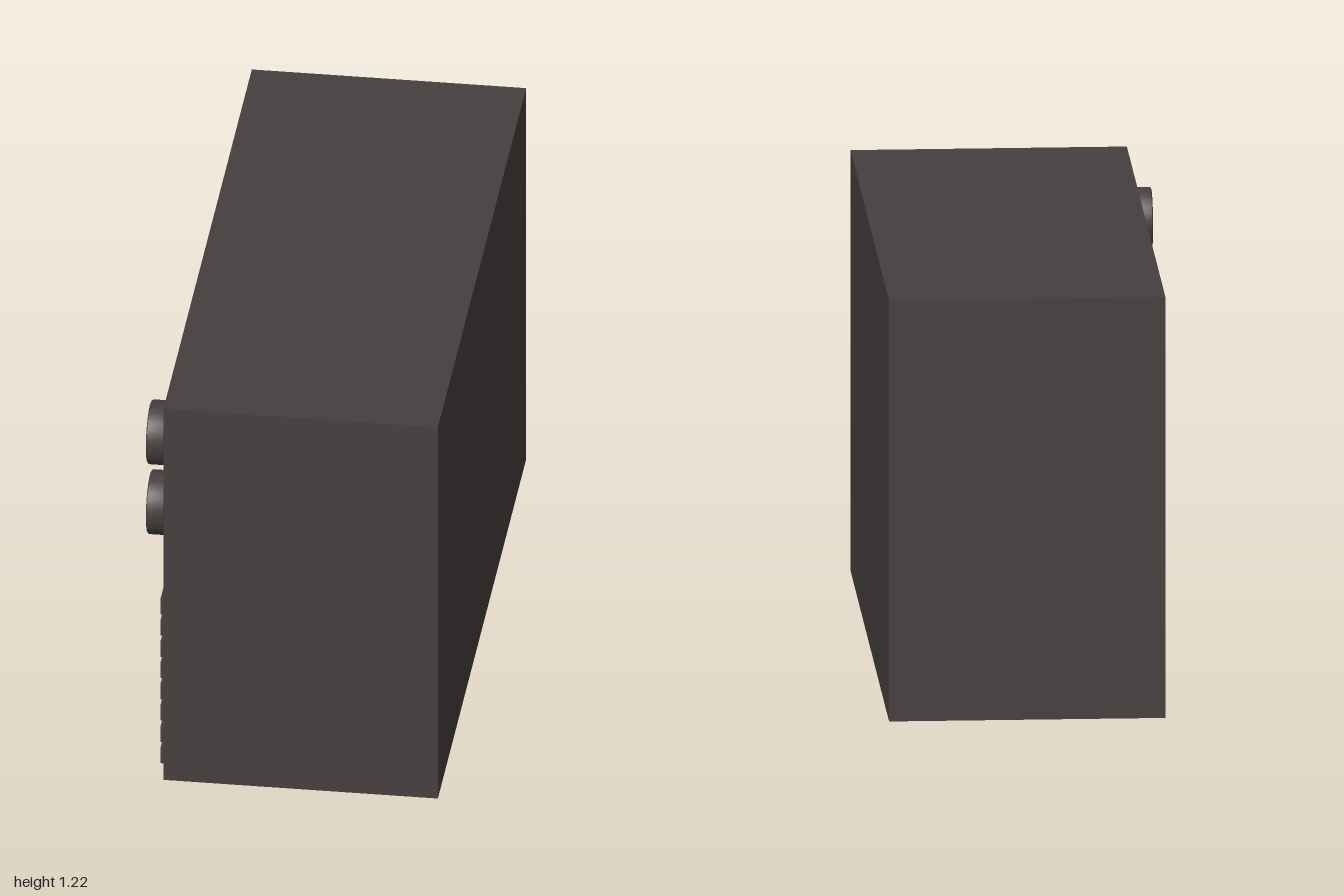
import * as THREE from 'three';

const W = 1.893, H = 1.222, D = 0.783, FRONT = D / 2;
// screen opening on the front face
const OPEN = { x0: -0.865, x1: 0.55, y0: 0.065, y1: 1.16 };
const DEPTH = 0.09;

const mat = (name, color) => {
  const m = new THREE.MeshStandardMaterial({ color });
  m.name = name;
  return m;
};

const add = (parent, name, geometry, material, x = 0, y = 0, z = 0) => {
  const mesh = new THREE.Mesh(geometry, material);
  mesh.name = name;
  mesh.position.set(x, y, z);
  parent.add(mesh);
  return mesh;
};

const rectPoints = (x0, x1, y0, y1) =>
  [[x0, y0], [x1, y0], [x1, y1], [x0, y1]].map(([x, y]) => new THREE.Vector2(x, y));

// rectangular frame extruded along z
function frame(outer, inner, depth) {
  const shape = new THREE.Shape(rectPoints(...outer));
  shape.holes.push(new THREE.Path(rectPoints(...inner).reverse()));
  return new THREE.ExtrudeGeometry(shape, { depth, bevelEnabled: false });
}

// one horizontal strip of the bulging picture tube
function screenStrip(y0, y1, rows) {
  const cx = (OPEN.x0 + OPEN.x1) / 2, half = (OPEN.x1 - OPEN.x0) / 2;
  const g = new THREE.PlaneGeometry(half * 2, y1 - y0, 48, rows);
  g.translate(cx, (y0 + y1) / 2, 0);
  const p = g.attributes.position;
  const round = (t) => Math.sin(Math.min(Math.max(t, 0), 1) * Math.PI / 2);
  for (let i = 0; i < p.count; i++) {
    const x = p.getX(i), y = p.getY(i);
    const ex = round((half - Math.abs(x - cx)) / 0.05);
    const ey = round(Math.min(y - OPEN.y0, OPEN.y1 - y) / 0.07);
    const arc = 0.01 * (1 - ((x - cx) / half) ** 2);
    p.setZ(i, FRONT - 0.085 + (0.037 + arc) * ex * ey);
  }
  g.computeVertexNormals();
  return g;
}

function makeKnob(material, gripMaterial) {
  const knob = new THREE.Group();
  // rim with a dished face, turned around its axis
  const profile = [[0.08, 0], [0.08, 0.012], [0.092, 0.012], [0.092, 0.056], [0.088, 0.06],
    [0.072, 0.06], [0.064, 0.038], [0, 0.038]].map(([r, h]) => new THREE.Vector2(r, h));
  const flat = new THREE.LatheGeometry(profile, 32);
  flat.rotateX(Math.PI / 2);
  add(knob, 'knobRim', flat, material);
  add(knob, 'knobGrip', new THREE.BoxGeometry(0.022, 0.11, 0.016), gripMaterial, 0, 0, 0.045);
  return knob;
}

export function createModel() {
  const body = mat('dark brown casing', 0x463f3f);
  const gray = mat('gray screen', 0x606060);
  const edge = mat('dark screen edge', 0x383636);

  const model = new THREE.Group();
  model.name = 'television';
  const set = new THREE.Group();
  set.name = 'televisionSet';
  set.rotation.y = -1.385;
  model.add(set);

  // casing: solid rear with a framed front
  add(set, 'casing', new THREE.BoxGeometry(W, H, D - DEPTH), body, 0, H / 2, -DEPTH / 2);
  const { x0, x1, y0, y1 } = OPEN;
  add(set, 'frontFrame', frame([-W / 2, W / 2, 0, H], [x0, x1, y0, y1], DEPTH),
    body, 0, 0, FRONT - DEPTH);

  // light lining of the screen recess
  const t = 0.004;
  add(set, 'recessLining', frame([x0, x1, y0, y1], [x0 + t, x1 - t, y0 + t, y1 - t], DEPTH - 0.002),
    gray, 0, 0, FRONT - DEPTH);

  // picture tube with dark upper and lower edges
  add(set, 'screen', screenStrip(y0 + 0.07, y1 - 0.07, 4), gray);
  add(set, 'screenLowerEdge', screenStrip(y0, y0 + 0.07, 6), edge);
  add(set, 'screenUpperEdge', screenStrip(y1 - 0.07, y1, 6), edge);

  // tuning knobs
  for (const y of [1.047, 0.817]) {
    const knob = makeKnob(body, body);
    knob.name = 'knob';
    knob.position.set(0.786, y, FRONT);
    set.add(knob);
  }

  // speaker grille
  add(set, 'grillePlate', new THREE.BoxGeometry(0.22, 0.54, 0.008), body, 0.8, 0.312, FRONT);
  for (let i = 0; i < 8; i++) {
    add(set, 'grilleSlat', new THREE.BoxGeometry(0.245, 0.05, 0.024), body, 0.8, 0.065 + i * 0.07, FRONT);
  }
  return model;
}
